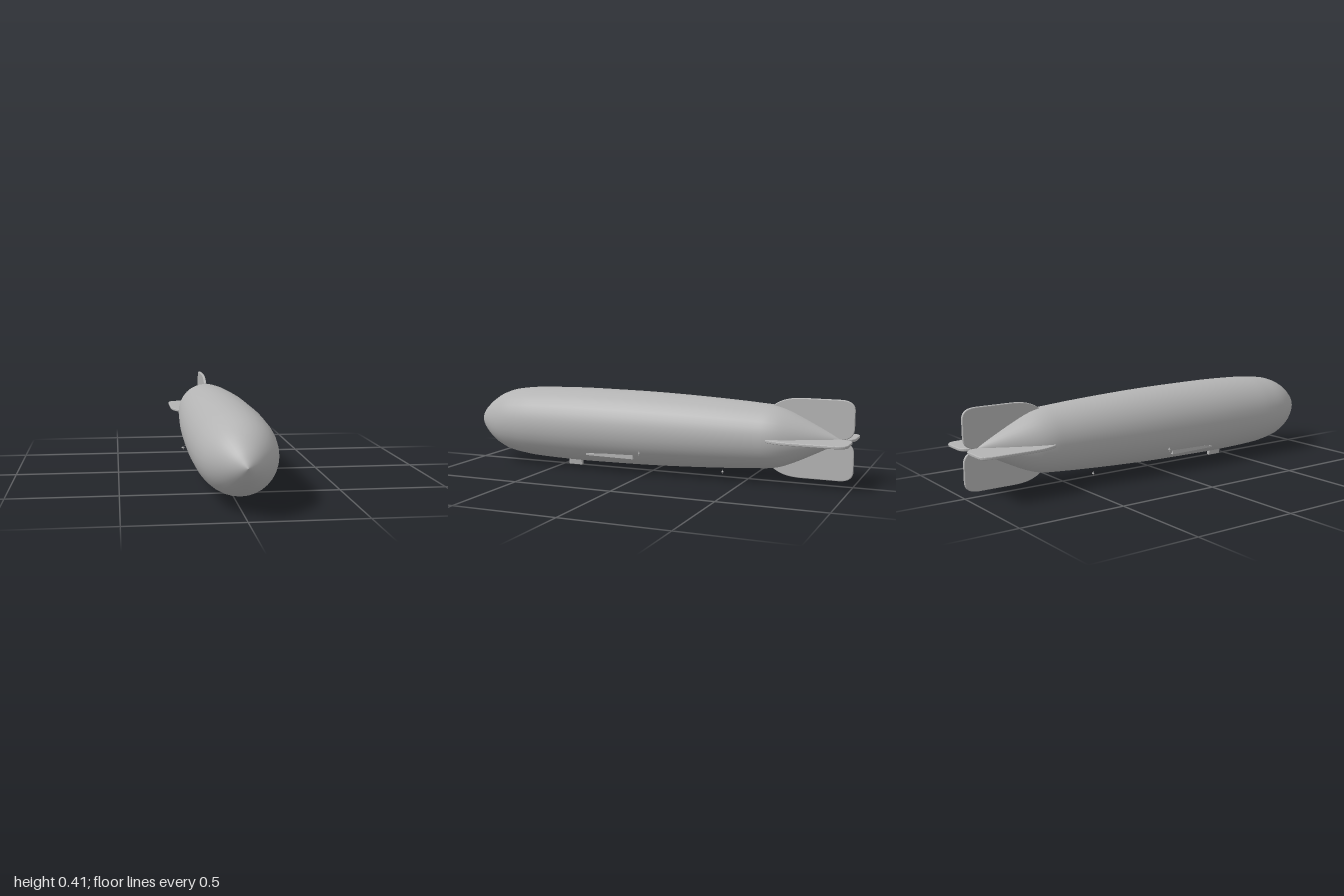
import * as THREE from 'three';

const AXIS = 0.217; // height of the hull's centre line

export function createModel() {
  const model = new THREE.Group();
  model.name = 'airship';
  const grey = new THREE.MeshStandardMaterial({ color: 0xb4b4b4 });
  grey.name = 'hullGrey';

  const add = (name, geometry, parent = model) => {
    const mesh = new THREE.Mesh(geometry, grey);
    mesh.name = name;
    parent.add(mesh);
    return mesh;
  };

  // Hull: [z, radius] from tail to nose, spun around the z axis
  const stations = [
    [-0.95, 0], [-0.9, 0.029], [-0.8, 0.081], [-0.7, 0.128], [-0.63, 0.149], [-0.55, 0.157],
    [-0.4, 0.167], [-0.2, 0.177], [0, 0.184], [0.2, 0.187], [0.4, 0.188], [0.6, 0.183],
    [0.7, 0.176], [0.8, 0.159], [0.88, 0.124], [0.95, 0.069], [0.985, 0.026], [1, 0],
  ];
  const curve = new THREE.SplineCurve(stations.map(([z, r]) => new THREE.Vector2(r, z)));
  const profile = curve.getPoints(68).map((p) => new THREE.Vector2(Math.max(p.x, 0), p.y));
  add('hull', new THREE.LatheGeometry(profile, 32).rotateX(Math.PI / 2)).position.y = AXIS;

  // Four rounded tail fins, rooted inside the hull
  const fin = new THREE.Shape();
  fin.moveTo(-0.62, 0.12);
  fin.lineTo(-0.62, 0.152);
  fin.bezierCurveTo(-0.65, 0.175, -0.69, 0.19, -0.76, 0.19);
  fin.lineTo(-0.93, 0.19);
  fin.bezierCurveTo(-0.975, 0.19, -1, 0.175, -1, 0.14);
  fin.lineTo(-1, 0.06);
  fin.bezierCurveTo(-1, 0.025, -0.98, 0.007, -0.94, 0.003);
  fin.lineTo(-0.9, 0.003);
  fin.closePath();
  const finGeometry = new THREE.ExtrudeGeometry(fin, {
    depth: 0.006, curveSegments: 10, bevelThickness: 0.004, bevelSize: 0.004,
    bevelOffset: -0.004, bevelSegments: 3,
  }).translate(0, 0, -0.003).rotateY(-Math.PI / 2);
  ['topFin', 'rightFin', 'bottomFin', 'leftFin'].forEach((name, i) => {
    const mesh = add(name, finGeometry);
    mesh.position.y = AXIS;
    mesh.rotation.z = i * Math.PI / 2;
  });

  // Control car: rounded nose, sides narrowing downward
  const plan = new THREE.Shape();
  plan.moveTo(-0.014, 0.4);
  plan.lineTo(0.014, 0.4);
  plan.lineTo(0.014, 0.46);
  plan.quadraticCurveTo(0.013, 0.476, 0, 0.476);
  plan.quadraticCurveTo(-0.013, 0.476, -0.014, 0.46);
  plan.closePath();
  const car = new THREE.ExtrudeGeometry(plan, { depth: 0.045, bevelEnabled: false, curveSegments: 8 });
  car.rotateX(Math.PI / 2).translate(0, 0.047, 0);
  const pos = car.attributes.position;
  for (let i = 0; i < pos.count; i++) {
    if (pos.getY(i) < 0.01) {
      pos.setX(i, pos.getX(i) * 0.62);
      pos.setY(i, 0.002);
    }
  }
  car.computeVertexNormals();
  add('controlCar', car);

  // Wedge-shaped side fairings, [z, y] outline
  const wedge = new THREE.Shape(
    [[0.05, 0.08], [0.305, 0.083], [0.305, 0.092], [0.05, 0.108]].map((p) => new THREE.Vector2(...p)));
  const wedgeGeometry = new THREE.ExtrudeGeometry(wedge, { depth: 0.034, bevelEnabled: false })
    .rotateY(-Math.PI / 2);

  // Small hubs with crossed blades on either side
  const hub = new THREE.SphereGeometry(0.005, 12, 8);
  const blade = new THREE.BoxGeometry(0.02, 0.002, 0.002);
  for (const [side, s] of [['left', 1], ['right', -1]]) {
    add(side + 'Fairing', wedgeGeometry).position.x = s > 0 ? 0.143 : -0.109;
    for (const [place, x, y, z] of [['Front', 0.177, 0.119, 0], ['Rear', 0.126, 0.053, -0.41]]) {
      const propeller = new THREE.Group();
      propeller.name = side + place + 'Propeller';
      propeller.position.set(s * x, y, z);
      add('hub', hub, propeller);
      add('bladeAcross', blade, propeller);
      add('bladeUpright', blade, propeller).rotation.z = Math.PI / 2;
      model.add(propeller);
    }
  }
  return model;
}
